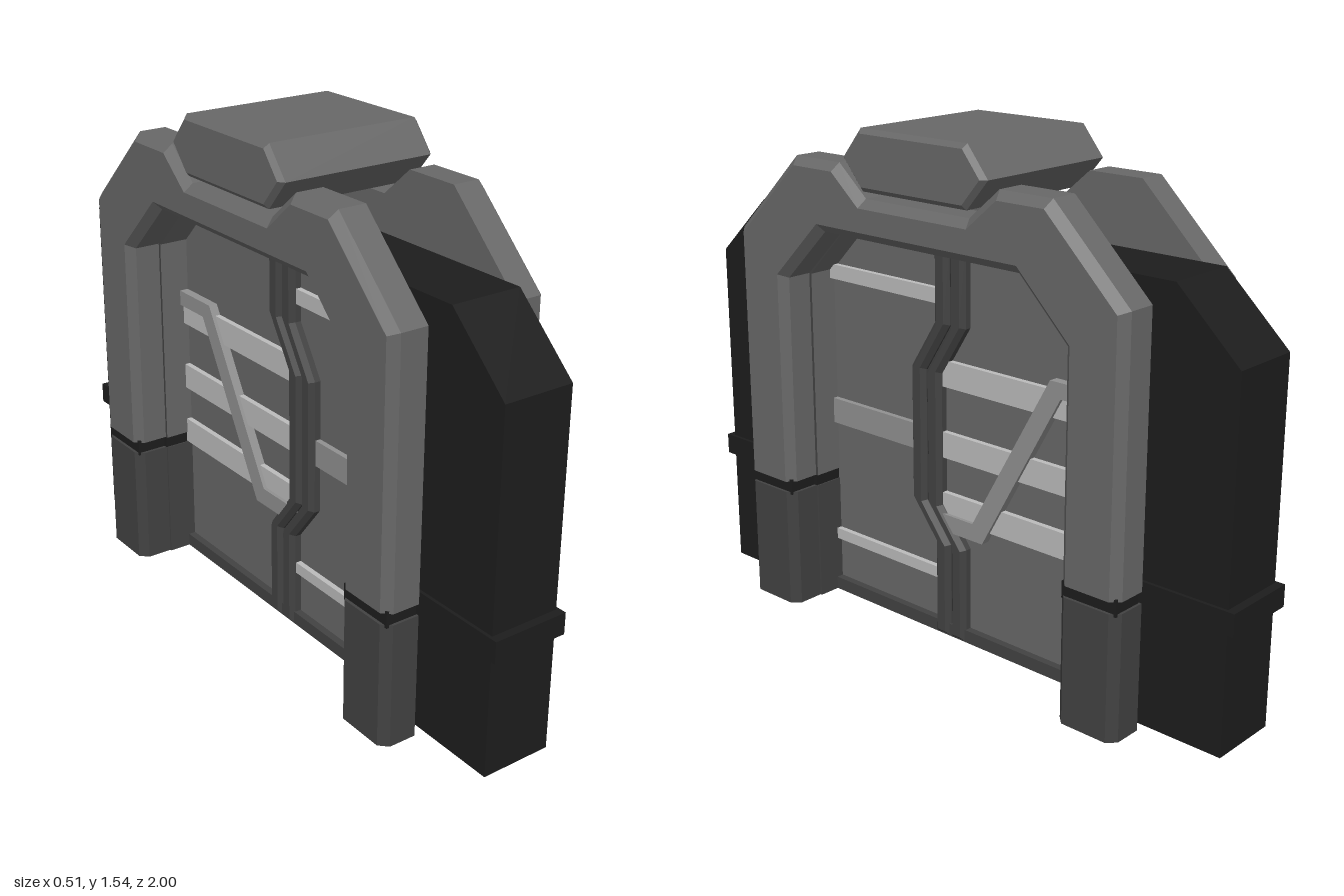
import * as THREE from 'three';

const mat = (name, color) => {
  const m = new THREE.MeshStandardMaterial({ color });
  m.name = name;
  return m;
};

export function createModel() {
  const group = new THREE.Group();
  const grey = mat('wall grey', 0x686868);
  const dark = mat('dark grey', 0x424242);
  const black = mat('black', 0x1d1d1d);
  const light = mat('light grey', 0xbcbcbc);
  const mid = mat('mid grey', 0x919191);

  // Extrudes a (z, y) outline across x, from x0 to x1, with an optional chamfer
  function slab(name, points, x0, x1, material, bevel = 0) {
    const shape = new THREE.Shape(points.map(([z, y]) => new THREE.Vector2(z, y)));
    const geo = new THREE.ExtrudeGeometry(shape, {
      depth: x1 - x0 - 2 * bevel, bevelEnabled: bevel > 0, bevelSegments: 1,
      bevelThickness: bevel, bevelSize: bevel, bevelOffset: -bevel,
    });
    geo.rotateY(-Math.PI / 2).translate(x1 - bevel, 0, 0);
    return add(name, geo, material);
  }
  function box(name, x0, x1, y0, y1, z0, z1, material) {
    const geo = new THREE.BoxGeometry(x1 - x0, y1 - y0, z1 - z0);
    geo.translate((x0 + x1) / 2, (y0 + y1) / 2, (z0 + z1) / 2);
    return add(name, geo, material);
  }
  function add(name, geo, material) {
    const mesh = new THREE.Mesh(geo, material);
    mesh.name = name;
    group.add(mesh);
    return mesh;
  }
  // A range a..b on the positive side, or its mirror image in ascending order
  const span = (s, a, b) => (s > 0 ? [a, b] : [-b, -a]);
  // Completes a half outline (z > 0) with its mirror image
  const mirrored = (half) => [...half, ...half.map(([z, y]) => [-z, y]).reverse()];
  // Band between an outer and an inner half outline, open at the bottom
  const band = (outer, inner) => [...mirrored(outer), ...mirrored(inner).reverse()];

  // Black central body with the doorway cut out
  slab('body', band(
    [[0.975, 0], [0.975, 1.062], [0.775, 1.25]],
    [[0.535, 0], [0.535, 1.07], [0.38, 1.22]]), -0.11, 0.11, black);

  // Outer arches: a plain slab with a chamfered outer face plate
  const legBottom = 0.412;
  const arch = band(
    [[0.73, legBottom], [0.73, 1.19], [0.478, 1.435], [0.3, 1.435], [0.195, 1.345]],
    [[0.533, legBottom], [0.533, 1.063], [0.368, 1.226]]);
  for (const s of [-1, 1]) {
    slab('arch', arch, ...span(s, 0.143, 0.228), grey);
    const face = slab('archFace', arch, ...span(s, 0.202, 0.253), grey, 0.025).geometry;
    // Keep the bottom ends of the legs square
    const p = face.attributes.position;
    for (let i = 0; i < p.count; i++) if (p.getY(i) < legBottom + 0.03) p.setY(i, legBottom);
    face.computeVertexNormals();
  }

  // Feet, groove strips and belts
  for (const sz of [-1, 1]) {
    for (const sx of [-1, 1]) {
      const c = 0.025;
      const plan = [[0.143, 0.53], [0.253 - c, 0.53], [0.253, 0.53 + c],
        [0.253, 0.73 - c], [0.253 - c, 0.73], [0.143, 0.73]];
      const foot = new THREE.ExtrudeGeometry(
        new THREE.Shape(plan.map(([x, z]) => new THREE.Vector2(x * sx, -z * sz))),
        { depth: 0.378, bevelEnabled: false });
      add('foot', foot.rotateX(-Math.PI / 2), dark);
      box('legGroove', ...span(sx, 0.146, 0.244), 0.37, 0.42, ...span(sz, 0.54, 0.722), black);
    }
    box('belt', -0.12, 0.12, 0.363, 0.428, ...span(sz, 0.56, 1.0), black);
    box('lowerJamb', -0.148, 0.148, 0, 0.378, ...span(sz, 0.524, 0.536), dark);
    box('jambGroove', -0.15, 0.15, 0.378, 0.412, ...span(sz, 0.528, 0.545), black);
  }

  // Floating cap over the arches
  slab('cap', mirrored([[0.195, 1.367], [0.27, 1.455], [0.198, 1.543]]), -0.253, 0.253, grey, 0.014);

  // Doorway liner and sill
  slab('upperJamb', band(
    [[0.536, legBottom], [0.536, 1.066], [0.369, 1.232]],
    [[0.524, legBottom], [0.524, 1.062], [0.385, 1.205]]), -0.148, 0.148, [dark, grey]);
  box('sill', -0.078, 0.078, 0, 0.04, -0.53, 0.53, dark);

  // Door panel
  slab('doorPanel', mirrored([[0.53, 0.005], [0.53, 1.065], [0.37, 1.222]]), -0.055, 0.055, grey);

  // Kinked edge strips where the two leaves meet
  const seam = [[0.02, 0], [0.02, 0.3], [0.115, 0.42], [0.115, 0.83], [0.02, 0.98], [0.02, 1.222]];
  const strip = (a, b) => [...seam.map(([z, y]) => [z + a, y]),
    ...seam.map(([z, y]) => [z + b, y]).reverse()];
  slab('frontLeafEdge', strip(0.002, 0.06), -0.088, 0.088, dark, 0.014);
  slab('rearLeafEdge', strip(-0.06, -0.002), -0.088, 0.088, dark, 0.014);
  slab('seamCore', strip(-0.01, 0.01), -0.07, 0.07, black);

  // Horizontal bars: y range, z range, material
  for (const [y0, y1, z0, z1, m] of [
    [1.035, 1.08, 0.05, 0.53, light],
    [0.57, 0.65, 0.14, 0.53, mid],
    [0.175, 0.21, 0.05, 0.53, light],
    [0.79, 0.87, -0.53, 0.085, light],
    [0.57, 0.65, -0.53, 0.085, light],
    [0.38, 0.46, -0.53, 0.085, light],
  ]) box('doorBar', -0.072, 0.072, y0, y1, z0, z1, m);

  // Angled brace over the rear leaf
  slab('brace', [[0.06, 0.397], [-0.072, 0.397], [-0.357, 0.9], [-0.53, 0.9],
    [-0.53, 0.853], [-0.395, 0.853], [-0.11, 0.343], [0.02, 0.343]], -0.083, 0.083, mid);

  return group;
}
